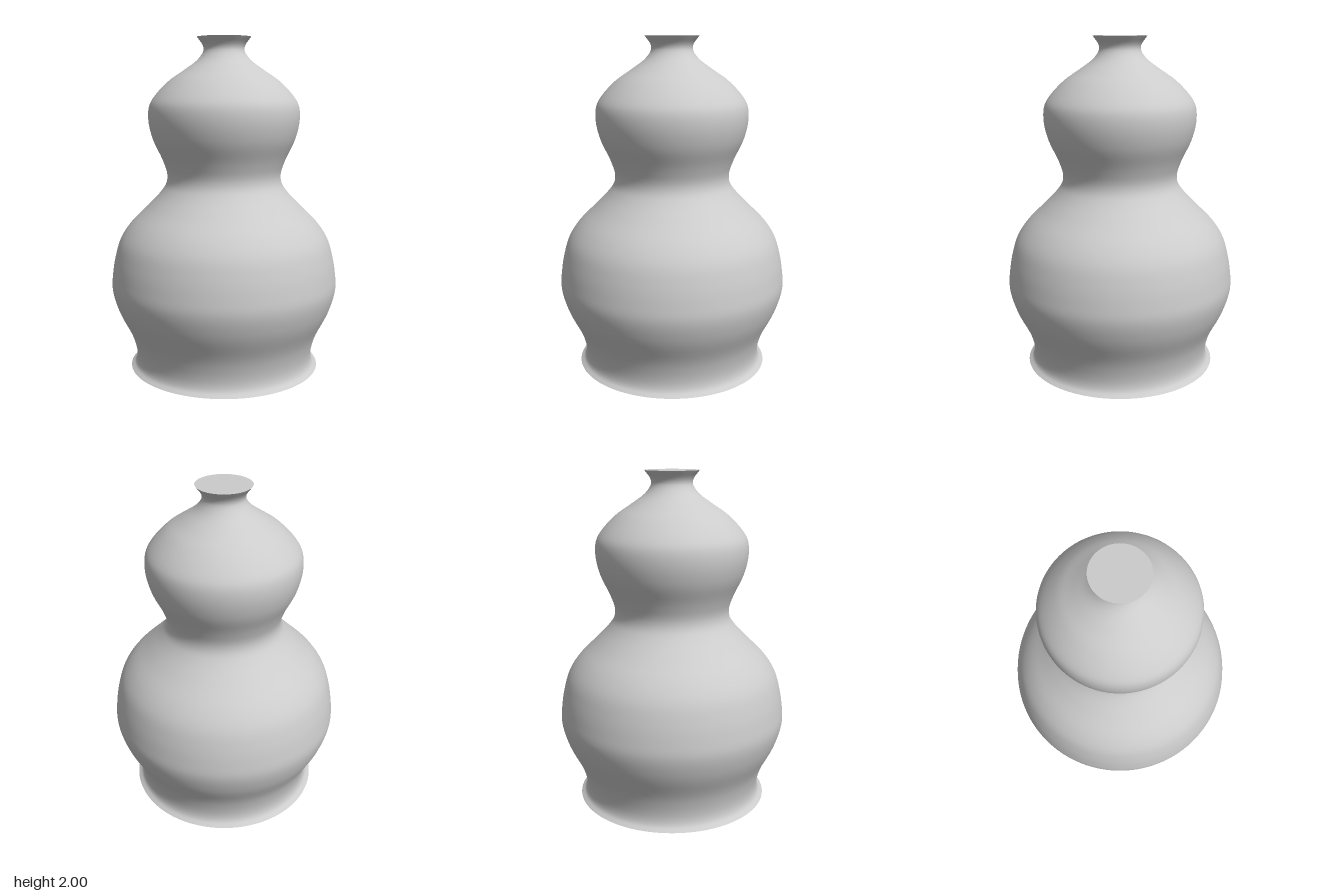
import * as THREE from 'three';

export function createModel() {
  const group = new THREE.Group();
  group.name = 'gourdVase';
  const material = new THREE.MeshStandardMaterial({ color: 0xcccccc });
  const segments = 128;

  // Silhouette as (radius, height), from the flared foot to the flared lip
  const outline = [
    [0.58, 0], [0.552, 0.025], [0.543, 0.08], [0.57, 0.2], [0.651, 0.37], [0.686, 0.5],
    [0.68, 0.6], [0.662, 0.7], [0.63, 0.8], [0.57, 0.89], [0.465, 0.995], [0.385, 1.08],
    [0.35, 1.135], [0.344, 1.19], [0.37, 1.275], [0.427, 1.4], [0.452, 1.51], [0.447, 1.595],
    [0.418, 1.65], [0.33, 1.743], [0.24, 1.806], [0.155, 1.87], [0.122, 1.92], [0.125, 1.95], [0.16, 2],
  ].map(([r, y]) => new THREE.Vector3(r, y, 0));
  const profile = new THREE.CatmullRomCurve3(outline, false, 'centripetal')
    .getPoints(120).map((p) => new THREE.Vector2(p.x, p.y));

  const add = (name, geometry) => {
    const mesh = new THREE.Mesh(geometry, material);
    mesh.name = name;
    group.add(mesh);
    return mesh;
  };

  // Double-bulb body
  add('body', new THREE.LatheGeometry(profile, segments));

  // Flat discs closing the mouth and the foot
  const mouth = add('mouthCap', new THREE.CircleGeometry(0.16, segments));
  mouth.rotation.x = -Math.PI / 2;
  mouth.position.y = 2;
  const foot = add('footCap', new THREE.CircleGeometry(0.58, segments));
  foot.rotation.x = Math.PI / 2;

  // Slight offset of the turning axis
  group.children.forEach((part) => {
    part.position.x = -0.003;
    part.position.z = -0.003;
  });
  return group;
}
